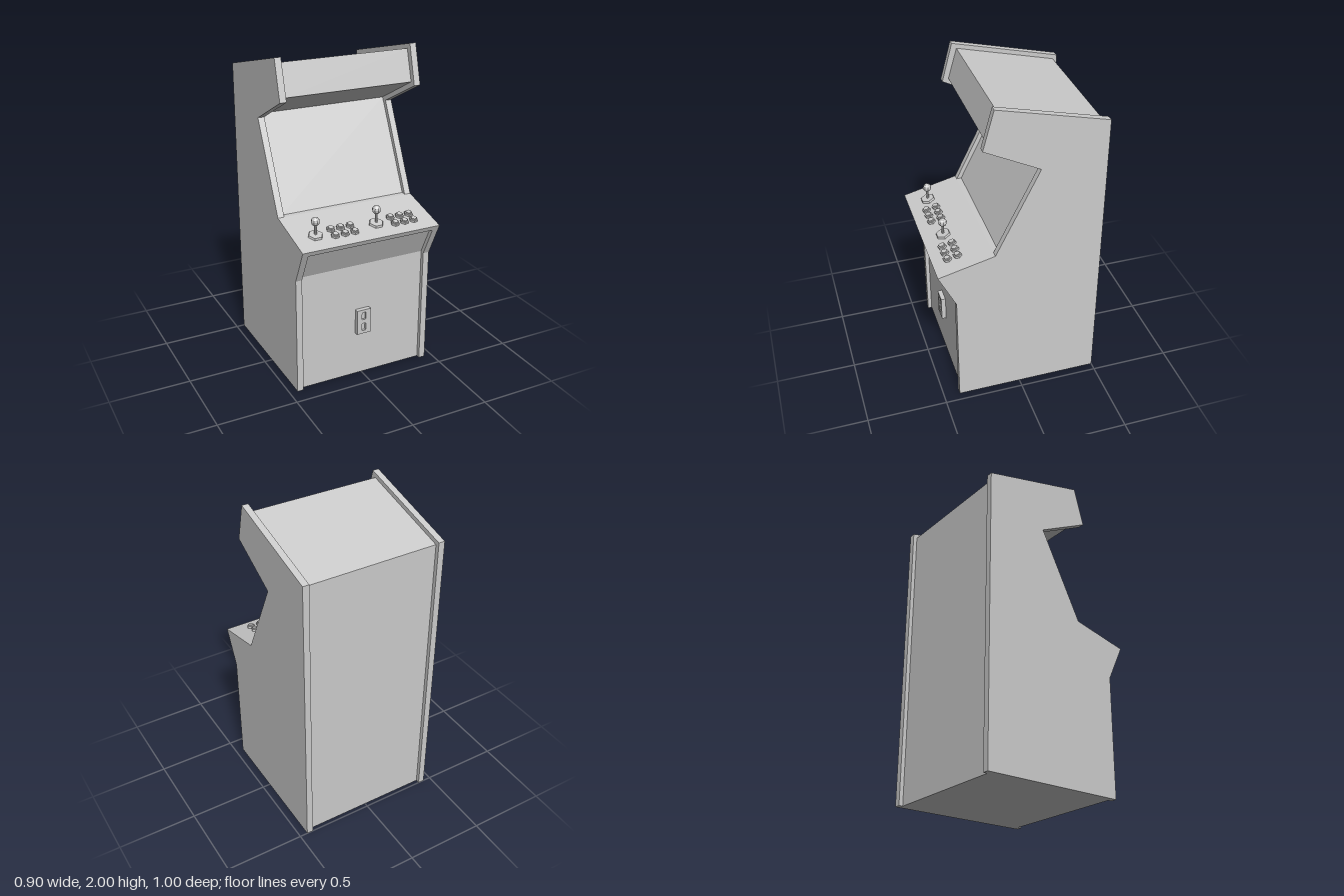
import * as THREE from 'three';

const grey = new THREE.MeshStandardMaterial({ color: 0xcccccc, flatShading: true });

function add(parent, name, geometry, x = 0, y = 0, z = 0) {
  const mesh = new THREE.Mesh(geometry, grey);
  mesh.name = name;
  mesh.position.set(x, y, z);
  parent.add(mesh);
  return mesh;
}

// Extrudes a [z, y] outline across x, centred on x = 0
function slab(outline, width) {
  const shape = new THREE.Shape(outline.map(([z, y]) => new THREE.Vector2(z, y)));
  return new THREE.ExtrudeGeometry(shape, { depth: width, bevelEnabled: false })
    .translate(0, 0, -width / 2)
    .rotateY(-Math.PI / 2);
}

// Control deck slope
const deckFront = [0.505, 0.965], deckBack = [0.16, 1.05];
const slope = (deckBack[1] - deckFront[1]) / (deckFront[0] - deckBack[0]);
const tilt = Math.atan(slope);
const deckY = z => deckFront[1] + (deckFront[0] - z) * slope;

function joystick(x, z) {
  const g = new THREE.Group();
  g.name = 'joystick';
  g.position.set(x, deckY(z), z);
  const base = add(g, 'joystickBase', new THREE.CylinderGeometry(0.043, 0.047, 0.016, 6).rotateY(Math.PI / 6), 0, 0.006, 0);
  base.rotation.x = tilt;
  add(g, 'joystickShaft', new THREE.CylinderGeometry(0.008, 0.008, 0.08, 8), 0, 0.045, 0);
  add(g, 'joystickBall', new THREE.SphereGeometry(0.027, 8, 6), 0, 0.092, 0);
  return g;
}

function button(x, z) {
  const g = new THREE.Group();
  g.name = 'button';
  g.position.set(x, deckY(z), z);
  g.rotation.x = tilt;
  const turn = Math.PI / 6 + 0.2;
  add(g, 'buttonCollar', new THREE.CylinderGeometry(0.026, 0.026, 0.018, 6).rotateY(turn), 0, 0.005, 0);
  add(g, 'buttonPlunger', new THREE.CylinderGeometry(0.018, 0.019, 0.024, 6).rotateY(turn), 0, 0.01, 0);
  return g;
}

// Upright slot outline for the coin door
function slotPath(y) {
  const w = 0.013, h = 0.025, c = 0.004;
  return new THREE.Path([
    [-w, y - h + c], [-w, y + h - c], [-w + c, y + h], [w - c, y + h],
    [w, y + h - c], [w, y - h + c], [w - c, y - h], [-w + c, y - h],
  ].map(([a, b]) => new THREE.Vector2(a, b)));
}

export function createModel() {
  const cabinet = new THREE.Group();
  cabinet.name = 'arcadeCabinet';

  // Side panels
  const sideOutline = [
    [-0.5, 0], [0.4, 0], [0.4, 0.745], deckFront, deckBack,
    [-0.105, 1.59], [0.23, 1.76], [0.165, 2], [-0.5, 1.835],
  ];
  for (const s of [-1, 1]) add(cabinet, s > 0 ? 'leftSide' : 'rightSide', slab(sideOutline, 0.04), s * 0.43);

  // Inset body: kick panel, deck with lip, screen, marquee, roof and back
  const bodyOutline = [
    [-0.475, 0], [0.375, 0], [0.375, 0.75], [0.465, 0.937], [0.491, 0.935],
    deckFront, deckBack, [0.13, 1.052], [-0.143, 1.603],
    [0.192, 1.775], [0.137, 1.965], [-0.475, 1.813],
  ];
  add(cabinet, 'body', slab(bodyOutline, 0.82));

  // Two player stations
  for (const x of [-0.312, 0.085]) {
    const station = new THREE.Group();
    station.name = 'playerControls';
    station.add(joystick(x, 0.38));
    for (const dx of [0.11, 0.173, 0.236])
      for (const z of [0.352, 0.413]) station.add(button(x + dx, z));
    cabinet.add(station);
  }

  // Coin door with two recessed slots
  const door = new THREE.Shape([[-0.046, 0.29], [0.046, 0.29], [0.046, 0.452], [-0.046, 0.452]]
    .map(([a, b]) => new THREE.Vector2(a, b)));
  door.holes.push(slotPath(0.335), slotPath(0.41));
  add(cabinet, 'coinDoor', new THREE.ExtrudeGeometry(door, { depth: 0.029, bevelEnabled: false }), 0, 0, 0.374);
  add(cabinet, 'coinSlotBacking', new THREE.BoxGeometry(0.08, 0.14, 0.014), 0, 0.371, 0.382);

  return cabinet;
}
